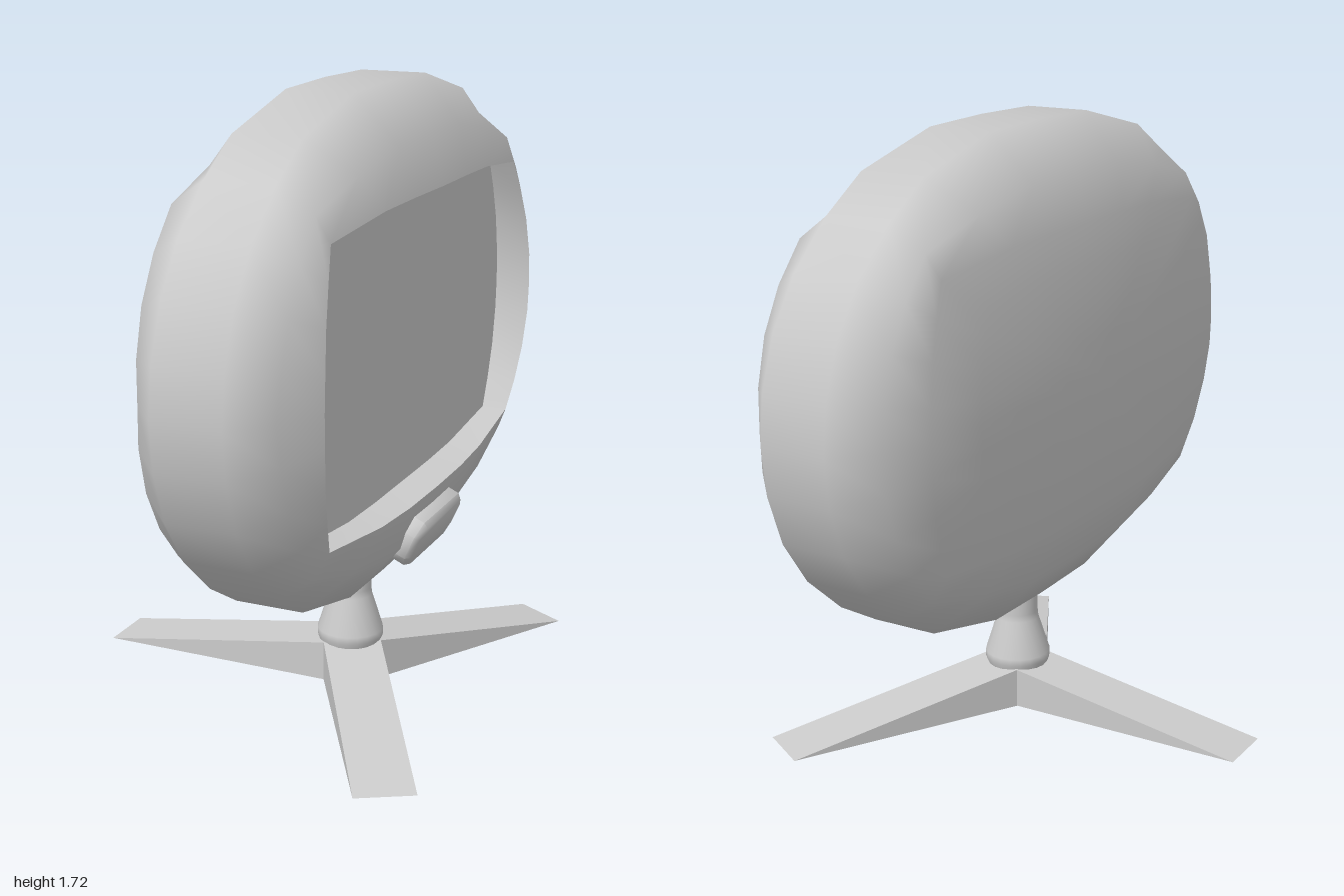
import * as THREE from 'three';
import { mergeVertices, toCreasedNormals } from 'three/addons/utils/BufferGeometryUtils.js';
import { ConvexGeometry } from 'three/addons/geometries/ConvexGeometry.js';

const MID_X = 0.16, MID_Y = 1.03;

// Quarter outlines as [x, y, z] offsets from the shell centre, top to side
const outer = [[0, 0.69], [0.25, 0.685], [0.56, 0.61], [0.71, 0.52], [0.845, 0.4], [0.935, 0.27], [0.985, 0.13], [1, 0]]
  .map(([z, y]) => [0.095, y, z]);
const rim = [[0, 0.42, 0.25], [0.2, 0.42, 0.247], [0.38, 0.415, 0.239], [0.675, 0.385, 0.22], [0.715, 0.3, 0.232], [0.75, 0.2, 0.242], [0.77, 0.09, 0.249], [0.775, 0, 0.25]]
  .map(([z, y, x]) => [x, y, z]);
const shoulder = outer.map((o, i) => {
  const r = rim[i], bulge = 0.038 - 0.028 * (i / 7) ** 2;
  return [(o[0] + r[0]) / 2 + bulge, (o[1] + r[1]) / 2, (o[2] + r[2]) / 2 + 0.01 * (i / 7)];
});

// Mirrors a quarter outline into a closed ring
function ring(quarter, fx = x => x, scale = 1) {
  const back = quarter.slice(0, -1).reverse();
  const half = [...quarter, ...back.map(([x, y, z]) => [x, -y, z])];
  const other = half.slice(1, -1).reverse().map(([x, y, z]) => [x, y, -z]);
  return [...half, ...other].map(([x, y, z]) => [MID_X + fx(x), MID_Y + y * scale, z * scale]);
}

// Skins a list of closed rings
function loft(rings) {
  const n = rings[0].length, index = [];
  for (let i = 0; i < rings.length - 1; i++) {
    for (let j = 0; j < n; j++) {
      const a = i * n + j, b = i * n + (j + 1) % n, c = a + n, d = b + n;
      index.push(a, c, b, b, c, d);
    }
  }
  const g = new THREE.BufferGeometry();
  g.setAttribute('position', new THREE.Float32BufferAttribute(rings.flat(2), 3));
  g.setIndex(index);
  const merged = mergeVertices(g, 1e-4);
  merged.computeVertexNormals();
  return merged;
}

export function createModel() {
  const model = new THREE.Group();
  const material = new THREE.MeshStandardMaterial({ color: 0xcccccc });
  const add = (name, geometry, parent = model) => {
    const mesh = new THREE.Mesh(geometry, material);
    mesh.name = name;
    parent.add(mesh);
    return mesh;
  };

  // Rounded shell, closed by a shallow dome at the back
  const mirror = x => -x;
  const dome = [0.75, 0.5, 0.25, 0].map(t => ring(rim, x => -0.295 + t * t * (0.295 - x), t));
  add('shell', loft([ring(rim), ring(shoulder), ring(outer), ring(outer, mirror),
    ring(shoulder, mirror), ring(rim, mirror), ...dome]));

  // Recessed screen and the wall around it
  const flat = () => 0.145;
  add('screenSurround', toCreasedNormals(loft([ring(rim, flat), ring(rim)]), 0.6));
  add('screen', loft([ring(rim, flat, 0), ring(rim, flat)]));

  // Control panel: bevelled block with clipped corners, tilted to the shell
  const w = 0.16, h = 0.06, c = 0.03;
  const panel = new THREE.Shape([[-w + c, -h], [w - c, -h], [w, -h + c], [w, h - c],
    [w - c, h], [-w + c, h], [-w, h - c], [-w, -h + c]].map(p => new THREE.Vector2(...p)));
  const panelGeometry = new THREE.ExtrudeGeometry(panel, {
    depth: 0.04, bevelSize: 0.012, bevelThickness: 0.014, bevelSegments: 1,
  });
  panelGeometry.translate(0, 0, -0.02).rotateY(Math.PI / 2);
  const control = add('controlPanel', toCreasedNormals(panelGeometry, 0.9));
  control.position.set(0.376, 0.49, 0);
  control.rotation.z = -0.42;

  // Flared neck
  const profile = [[0.085, 0.1], [0.095, 0.125], [0.095, 0.145], [0.062, 0.25], [0.06, 0.27], [0.06, 0.38]];
  const neck = add('neck', new THREE.LatheGeometry(profile.map(p => new THREE.Vector2(...p)), 20));
  neck.position.x = 0.15;

  // Three wedge legs meeting under the neck
  const stand = new THREE.Group();
  stand.name = 'stand';
  stand.position.x = 0.15;
  model.add(stand);
  const points = [[0, 0.115, 0], [0, 0, 0]];
  for (const s of [-1, 1]) {
    points.push([0.048, 0.115, s * 0.083], [0.048, 0, s * 0.083], [0.75, 0, s * 0.083]);
  }
  const legGeometry = new ConvexGeometry(points.map(p => new THREE.Vector3(...p)));
  for (const angle of [Math.PI, Math.PI / 3, -Math.PI / 3]) {
    add('leg', legGeometry, stand).rotation.y = angle;
  }

  return model;
}
